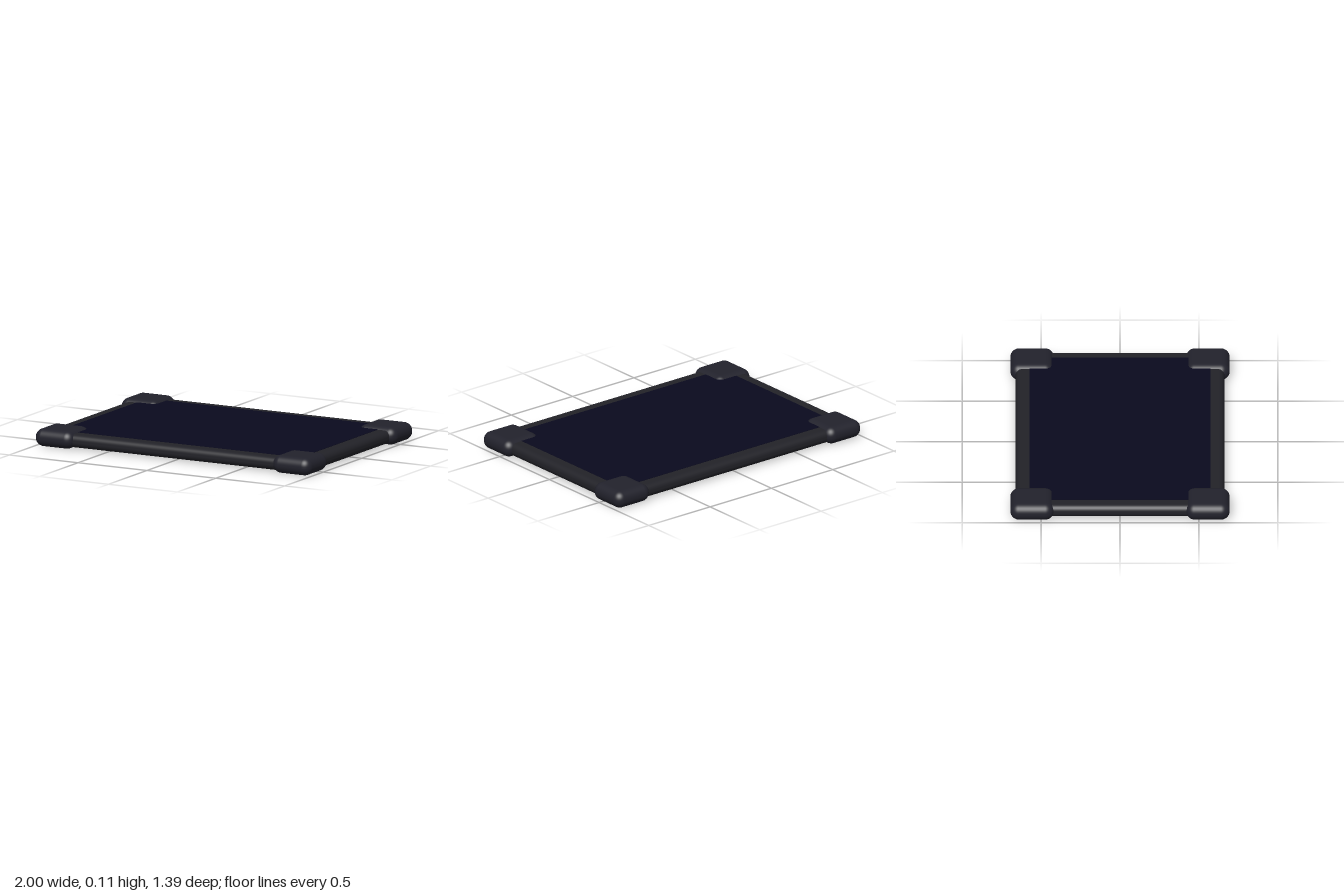
import * as THREE from 'three';
import { RoundedBoxGeometry } from 'three/addons/geometries/RoundedBoxGeometry.js';

export function createModel() {
  const group = new THREE.Group();

  const material = (name, color) => {
    const m = new THREE.MeshStandardMaterial({ color });
    m.name = name;
    return m;
  };
  const bodyMaterial = material('charcoal', 0x222228);
  const bumperMaterial = material('dark rubber', 0x22222c);
  const screenMaterial = material('midnight blue', 0x0a0a1e);

  const add = (name, geometry, mat, x, y, z) => {
    const mesh = new THREE.Mesh(geometry, mat);
    mesh.name = name;
    mesh.position.set(x, y, z);
    group.add(mesh);
  };

  // Slab body with rounded rim
  add('body', new RoundedBoxGeometry(1.926, 0.085, 1.322, 6, 0.038), bodyMaterial, 0, 0.0525, 0);

  // Thin display plate set on the top face
  add('screen', new THREE.BoxGeometry(1.75, 0.004, 1.146), screenMaterial, 0, 0.095, 0);

  // Protective bumper on each corner
  const bumper = new RoundedBoxGeometry(0.276, 0.114, 0.276, 8, 0.055);
  for (const [sideName, sx] of [['Left', 1], ['Right', -1]]) {
    for (const [endName, sz] of [['front', 1], ['back', -1]]) {
      add(`${endName}${sideName}Bumper`, bumper, bumperMaterial, sx * 0.862, 0.057, sz * 0.557);
    }
  }

  return group;
}
